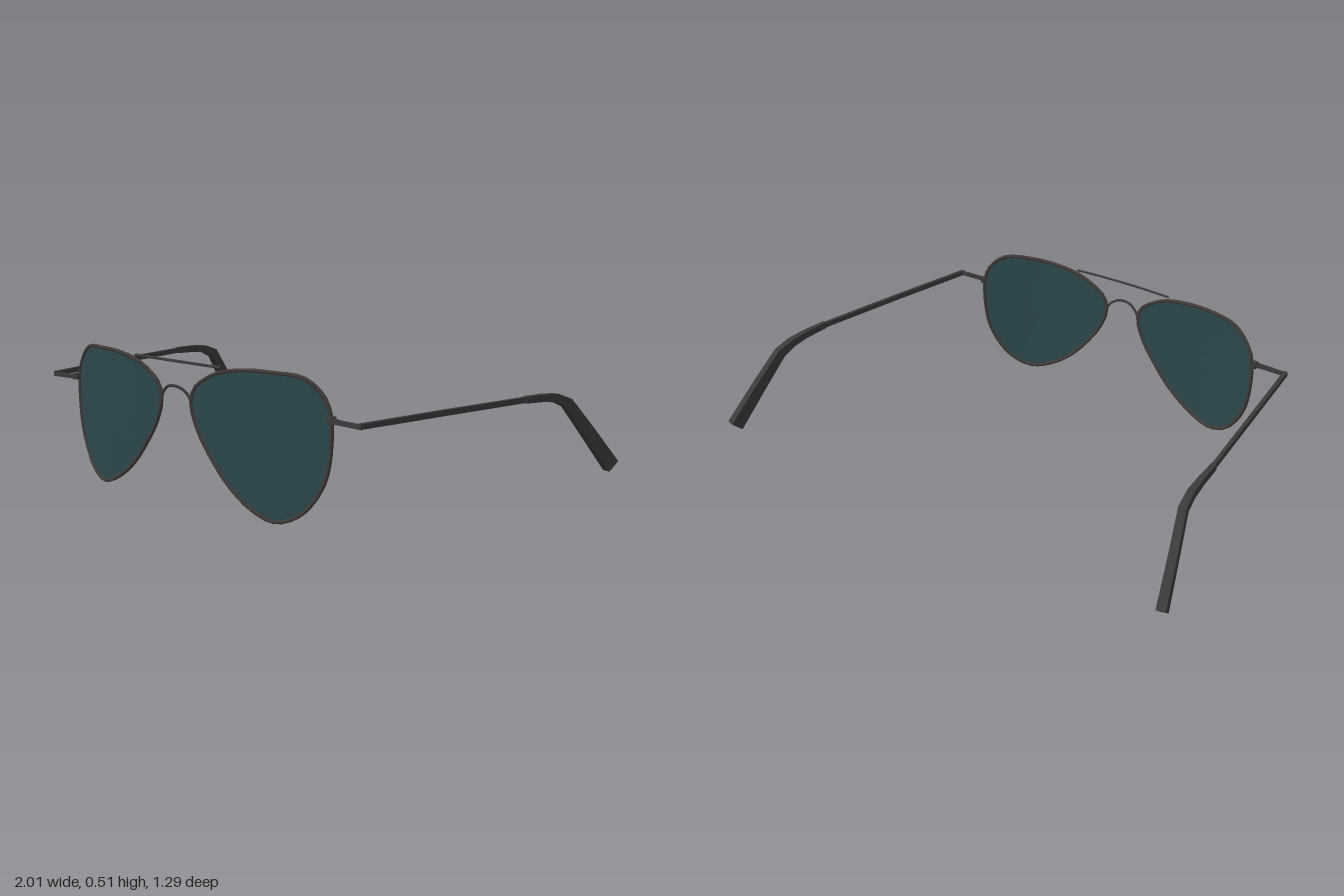
import * as THREE from 'three';

const V = (x, y, z) => new THREE.Vector3(x, y, z);

// Front outline of one lens (x, y), clockwise from the inner top
const OUTLINE = [
  [0.21, 0.487], [0.32, 0.506], [0.435, 0.509], [0.55, 0.499], [0.608, 0.457],
  [0.64, 0.40], [0.645, 0.28], [0.625, 0.17], [0.582, 0.092], [0.53, 0.038],
  [0.445, 0.008], [0.355, 0.034], [0.25, 0.103], [0.163, 0.197], [0.10, 0.29],
  [0.076, 0.365], [0.09, 0.417], [0.143, 0.457],
];

// Wrap of the front: depth as a function of the distance from the middle
const WRAP = [[0, 0.628], [0.2, 0.62], [0.4, 0.604], [0.5, 0.58], [0.6, 0.549], [0.65, 0.538]];
function wrapZ(x) {
  let i = 1;
  while (i < WRAP.length - 1 && x > WRAP[i][0]) i++;
  const [x0, z0] = WRAP[i - 1], [x1, z1] = WRAP[i];
  return z0 + ((x - x0) / (x1 - x0)) * (z1 - z0);
}

// Lens surface: rings growing from the centre to the outline, bent by the wrap
function lensGeometry() {
  const n = OUTLINE.length, rings = 7, cx = 0.38, cy = 0.28;
  const pos = [], idx = [];
  for (let r = 0; r <= rings; r++) {
    for (const [px, py] of OUTLINE) {
      const t = r / rings, x = cx + (px - cx) * t;
      pos.push(x, cy + (py - cy) * t, wrapZ(x));
    }
  }
  for (let r = 0; r < rings; r++) {
    for (let i = 0; i < n; i++) {
      const j = (i + 1) % n, a = r * n + i, b = r * n + j, c = a + n, d = b + n;
      idx.push(a, d, c);
      if (r > 0) idx.push(a, b, d);
    }
  }
  const g = new THREE.BufferGeometry();
  g.setAttribute('position', new THREE.Float32BufferAttribute(pos, 3));
  g.setIndex(idx);
  g.computeVertexNormals();
  return g;
}

// Rectangular bar through stations [x, y, z, width, height], capped at both ends
function barGeometry(stations) {
  const pts = stations.map((s) => V(s[0], s[1], s[2]));
  const pos = [], idx = [];
  stations.forEach(([, , , w, h], i) => {
    const dir = pts[Math.min(i + 1, pts.length - 1)].clone().sub(pts[Math.max(i - 1, 0)]).normalize();
    const side = V(0, 1, 0).cross(dir).normalize();
    const up = dir.clone().cross(side);
    for (const [a, b] of [[-1, -1], [1, -1], [1, 1], [-1, 1]]) {
      const p = pts[i].clone().addScaledVector(side, (a * w) / 2).addScaledVector(up, (b * h) / 2);
      pos.push(p.x, p.y, p.z);
    }
    if (i === 0) return;
    const o = (i - 1) * 4;
    for (let k = 0; k < 4; k++) {
      const l = (k + 1) % 4;
      idx.push(o + k, o + l, o + 4 + l, o + k, o + 4 + l, o + 4 + k);
    }
  });
  const e = (stations.length - 1) * 4;
  idx.push(0, 2, 1, 0, 3, 2, e, e + 1, e + 2, e, e + 2, e + 3);
  const g = new THREE.BufferGeometry();
  g.setAttribute('position', new THREE.Float32BufferAttribute(pos, 3));
  g.setIndex(idx);
  return g;
}

function wireGeometry(points, radius, segments, closed = false) {
  const curve = new THREE.CatmullRomCurve3(points, closed, 'centripetal');
  return new THREE.TubeGeometry(curve, segments, radius, 6, closed);
}

export function createModel() {
  const model = new THREE.Group();
  model.name = 'sunglasses';

  const lensMat = new THREE.MeshStandardMaterial({ color: 0x2b474c, side: THREE.DoubleSide });
  const rimMat = new THREE.MeshStandardMaterial({ color: 0x413a38 });
  const frameMat = new THREE.MeshStandardMaterial({ color: 0x3a3a3c, flatShading: true });

  const add = (parent, name, geometry, material) => {
    const mesh = new THREE.Mesh(geometry, material);
    mesh.name = name;
    parent.add(mesh);
  };

  const lens = lensGeometry();
  const rim = wireGeometry(OUTLINE.map(([x, y]) => V(x, y, wrapZ(x))), 0.007, 54, true);

  // Short arm from the rim out to the hinge
  const hinge = barGeometry([
    [0.64, 0.372, 0.549, 0.014, 0.018],
    [0.70, 0.370, 0.552, 0.010, 0.016],
    [0.785, 0.368, 0.552, 0.010, 0.016],
  ]);
  const hingeBlock = new THREE.BoxGeometry(0.016, 0.024, 0.024).translate(0.654, 0.372, 0.545);

  // Straight thin temple running back
  const temple = barGeometry([
    [0.778, 0.370, 0.556, 0.016, 0.018],
    [0.835, 0.373, 0.20, 0.014, 0.020],
    [0.897, 0.374, -0.20, 0.014, 0.020],
  ]);

  // Earpiece sleeve, thickening as it bends down behind the ear
  const earpiece = barGeometry([
    [0.895, 0.374, -0.18, 0.018, 0.024],
    [0.904, 0.370, -0.28, 0.022, 0.027],
    [0.910, 0.361, -0.35, 0.026, 0.031],
    [0.918, 0.337, -0.41, 0.029, 0.038],
    [0.947, 0.227, -0.502, 0.031, 0.046],
    [0.982, 0.083, -0.621, 0.034, 0.054],
  ]);

  for (const [side, sign] of [['left', 1], ['right', -1]]) {
    const half = new THREE.Group();
    half.name = side + 'Side';
    half.scale.x = sign;
    add(half, side + 'Lens', lens, lensMat);
    add(half, side + 'Rim', rim, rimMat);
    add(half, side + 'HingeArm', hinge, frameMat);
    add(half, side + 'HingeBlock', hingeBlock, frameMat);
    add(half, side + 'Temple', temple, frameMat);
    add(half, side + 'Earpiece', earpiece, frameMat);
    model.add(half);
  }

  // Straight brow bar across the top
  add(model, 'browBar', wireGeometry([
    V(-0.22, 0.505, 0.618), V(-0.1, 0.506, 0.624), V(0.1, 0.506, 0.624), V(0.22, 0.505, 0.618),
  ], 0.005, 12), frameMat);

  // Arched nose bridge
  add(model, 'noseBridge', wireGeometry([
    V(-0.078, 0.37, 0.625), V(-0.06, 0.397, 0.627), V(-0.032, 0.416, 0.633), V(0, 0.421, 0.636),
    V(0.032, 0.416, 0.633), V(0.06, 0.397, 0.627), V(0.078, 0.37, 0.625),
  ], 0.005, 16), frameMat);

  return model;
}
